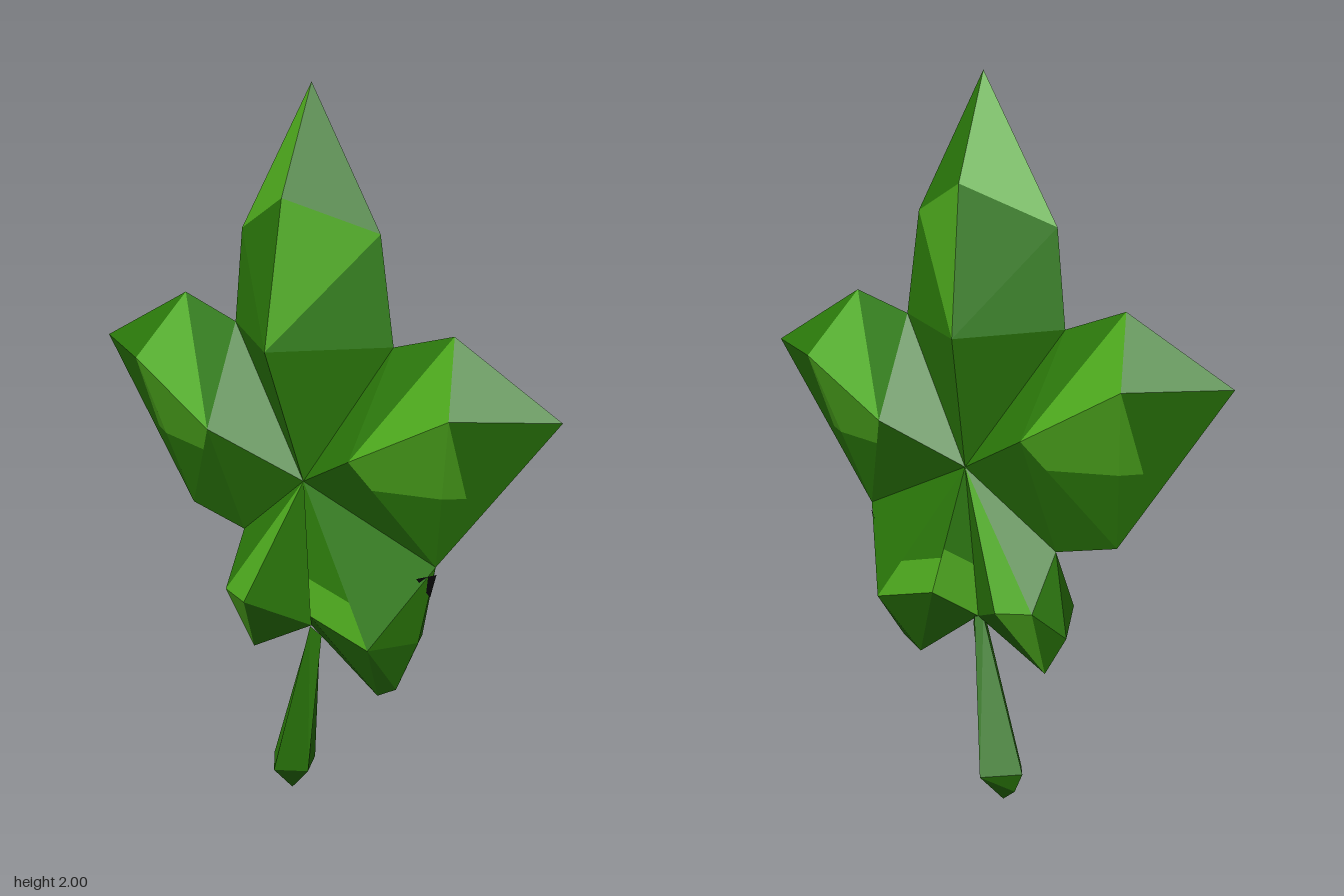
import * as THREE from 'three';

const material = (name, color) => {
  const m = new THREE.MeshStandardMaterial({ color });
  m.name = name;
  return m;
};
const darkGreen = material('dark leaf green', 0x2b790a);
const lightGreen = material('light leaf green', 0x4fac1e);
const black = material('black', 0x050505);

// Flat-faceted mesh; faces are drawn on the front and mirrored to the back.
function facetMesh(name, triangles, mat) {
  const pos = [];
  for (const [a, b, c] of triangles) {
    const turn = (b[0] - a[0]) * (c[1] - a[1]) - (b[1] - a[1]) * (c[0] - a[0]);
    const front = turn > 0 ? [a, b, c] : [a, c, b];
    for (const p of front) pos.push(...p);
    for (const p of front.reverse()) pos.push(p[0], p[1], -p[2]);
  }
  const g = new THREE.BufferGeometry();
  g.setAttribute('position', new THREE.Float32BufferAttribute(pos, 3));
  g.computeVertexNormals();
  const mesh = new THREE.Mesh(g, mat);
  mesh.name = name;
  return mesh;
}

const mix = (p, q, t) => p.map((v, i) => v + (q[i] - v) * t);

// Cut triangle p-q-r across: the strip beside p-q and the remaining corner at r.
function cut(p, q, r, tp, tq) {
  const u = mix(p, r, tp), v = mix(q, r, tq);
  return { u, strip: [[p, q, v], [p, v, u]], corner: [[u, v, r]] };
}

function lobe(name, dark, light) {
  const group = new THREE.Group();
  group.name = name;
  group.add(facetMesh(name + 'Blade', dark, darkGreen));
  group.add(facetMesh(name + 'Highlight', light, lightGreen));
  return group;
}

const centre = [0.02, 0.93, 0.05];
const notchUpL = [-0.31, 1.325, 0], notchUpR = [0.31, 1.33, 0];
const notchLowL = [-0.28, 0.73, 0], notchLowR = [0.47, 0.77, 0];
const notchBase = [0.01, 0.51, 0.01];

// Tall middle lobe
function topLobe() {
  const tip = [0, 2, 0], sl = [-0.28, 1.59, 0], sr = [0.26, 1.62, 0];
  const a = [-0.01, 1.7, 0.1], b = [-0.03, 1.29, 0.145];
  return lobe('topLobe', [
    [tip, sr, a], [sr, notchUpR, b], [notchUpR, centre, b],
    [sl, a, b], [sl, b, notchUpL], [notchUpL, b, centre],
  ], [[tip, a, sl], [a, sr, b]]);
}

// Side lobe: s is +1 for left (+x), -1 for right
function sideLobe(name, s, low, notchUp, notchLow) {
  const tip = [0.885 * s, 1.217, 0], peak = [0.525 * s, 1.385, 0];
  const a = [0.615 * s, 1.195, 0.115], b = [0.28 * s, 1.04, 0.135];
  const patch = cut(a, b, low, 0.52, 0.27);
  const w = mix(mix(tip, low, 0.5), patch.u, 0.55);
  const dark = [
    [tip, peak, a], [peak, notchUp, b], [notchUp, centre, b],
    [tip, a, w], [tip, w, low], [w, patch.u, low],
    ...patch.corner, [b, notchLow, centre],
  ];
  if (low !== notchLow) dark.push([b, low, notchLow]);
  return lobe(name, dark, [[peak, a, b], [a, w, patch.u], ...patch.strip]);
}

// Small lower lobe on the -x side
function lowerRightLobe() {
  const r1 = [-0.27, 0.57, 0.08], r2 = [-0.16, 0.56, 0.11];
  const side = [-0.32, 0.5, 0], end = [-0.24, 0.39, 0];
  return lobe('lowerRightLobe', [
    [centre, notchLowL, r1], [notchLowL, side, r1], [side, end, r1],
    [r2, end, notchBase], [centre, r2, notchBase],
  ], [[centre, r1, r2], [r1, end, r2]]);
}

// Broader lower lobe on the +x side, with a small black nick on its rim
function lowerLeftLobe() {
  const r1 = [0.1, 0.575, 0.1], r2 = [0.325, 0.53, 0.105];
  const side = [0.41, 0.55, 0], corner = [0.33, 0.4, 0], end = [0.26, 0.365, 0];
  const patch = cut(r1, r2, centre, 0.28, 0.28);
  const inner = cut(notchBase, r1, centre, 0.35, 0.35);
  const group = lobe('lowerLeftLobe', [
    ...patch.corner, ...inner.corner, [centre, r2, notchLowR], [r2, notchLowR, side],
    [r2, side, corner], [r2, corner, end], [r1, r2, end], [r1, end, notchBase],
  ], [...patch.strip, ...inner.strip]);
  const nick = [[0.473, 0.75, 0], [0.427, 0.735, 0.028], [0.451, 0.683, 0]];
  group.add(facetMesh('rimNick', [nick], black));
  return group;
}

// Four-sided stem that thickens toward its pointed foot
function stem() {
  const tl = [0, 0.51, 0], tr = [0.04, 0.485, 0], tf = [0.015, 0.51, 0.02];
  const bl = [-0.155, 0.09, 0], br = [-0.015, 0.07, 0], bf = [-0.07, 0.08, 0.08];
  const heel = [-0.125, 0.035, 0], foot = [-0.08, 0.005, 0];
  return facetMesh('stem', [
    [tl, bl, bf], [tl, bf, tf], [tf, bf, br], [tf, br, tr],
    [bl, heel, bf], [heel, foot, bf], [foot, br, bf],
  ], darkGreen);
}

export function createModel() {
  const leaf = new THREE.Group();
  leaf.name = 'leaf';
  leaf.add(
    topLobe(),
    sideLobe('leftLobe', 1, notchLowR, notchUpR, notchLowR),
    sideLobe('rightLobe', -1, [-0.5, 0.77, 0], notchUpL, notchLowL),
    lowerLeftLobe(),
    lowerRightLobe(),
    stem(),
  );
  return leaf;
}
